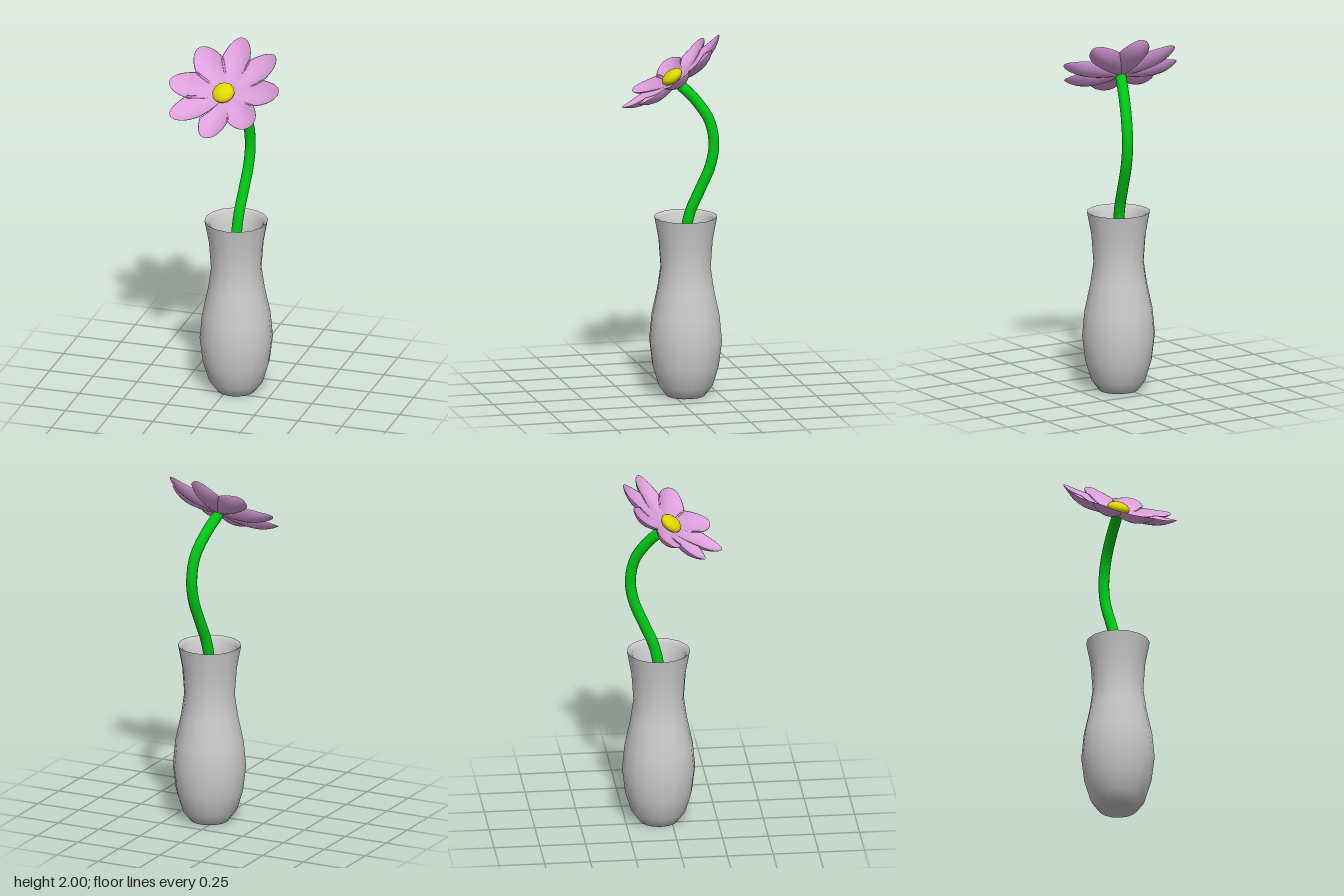
import * as THREE from 'three';
import { mergeVertices } from 'three/addons/utils/BufferGeometryUtils.js';

const mat = (color) => new THREE.MeshStandardMaterial({ color });

function mesh(name, geometry, material) {
  const m = new THREE.Mesh(geometry, material);
  m.name = name;
  return m;
}

// Spoon-shaped petal: a sphere reshaped, base at the origin, tip curling up toward -z
function petalGeometry(length) {
  let g = new THREE.SphereGeometry(1, 20, 18).rotateX(-Math.PI / 2);
  g.deleteAttribute('uv');
  g.deleteAttribute('normal');
  g = mergeVertices(g, 1e-4);
  const p = g.attributes.position;
  for (let i = 0; i < p.count; i++) {
    const t = (1 - p.getZ(i)) / 2;
    const round = Math.sqrt(Math.max(0, 1 - p.getZ(i) ** 2));
    // near the base the width is limited so neighbouring petals just meet
    const limit = round > 0 ? (length * t * 0.43 + 0.003) / round : 0;
    const x = p.getX(i) * Math.min(0.087, limit);
    const cup = 5.5 * x * x;
    const rise = 0.067 * t ** 4;
    p.setXYZ(i, x, p.getY(i) * 0.01 + cup + rise, -length * t);
  }
  g.computeVertexNormals();
  return g;
}

export function createModel() {
  const model = new THREE.Group();
  model.name = 'flowerInVase';

  // Vase: outer wall, sloping lip, then inner wall down to the inside floor
  const profile = [
    [0, 0], [0.105, 0], [0.15, 0.06], [0.183, 0.17], [0.2, 0.31],
    [0.187, 0.45], [0.155, 0.6], [0.138, 0.72], [0.149, 0.87], [0.173, 1],
    [0.173, 1], [0.148, 0.98],
    [0.125, 0.87], [0.113, 0.72], [0.128, 0.6], [0.16, 0.45], [0.173, 0.31],
    [0.155, 0.17], [0.1, 0.06], [0, 0.05],
  ].map(([r, y]) => new THREE.Vector2(r, y));
  const vase = mesh('vase', new THREE.LatheGeometry(profile, 16), mat(0xcccccc));
  vase.position.set(0.045, 0, -0.068);
  model.add(vase);

  // Stem: curved tube from inside the vase to the back of the bloom
  const stemPath = new THREE.CatmullRomCurve3([
    [0.03, 0.08, -0.03], [0.035, 0.6, -0.04], [0.05, 1, -0.085], [0.063, 1.15, -0.145],
    [0.074, 1.28, -0.199], [0.077, 1.4, -0.219], [0.07, 1.53, -0.197],
    [0.045, 1.64, -0.13], [0.008, 1.745, -0.03],
  ].map((a) => new THREE.Vector3(...a)));
  model.add(mesh('stem', new THREE.TubeGeometry(stemPath, 48, 0.03, 12), mat(0x00c814)));

  // Bloom: eight petals around a flattened centre, tilted to face forward and up
  const bloom = new THREE.Group();
  bloom.name = 'bloom';
  bloom.position.set(0.005, 1.75, -0.035);
  bloom.quaternion.setFromUnitVectors(
    new THREE.Vector3(0, 1, 0), new THREE.Vector3(-0.14, 0.82, 0.575).normalize());

  const petalShape = petalGeometry(0.33);
  const petalMaterial = mat(0xdda0dd);
  [6, 51, 96, 141, 186, 236, 278, 322].forEach((degrees, i) => {
    const petal = mesh('petal' + (i + 1), petalShape, petalMaterial);
    petal.rotation.y = -THREE.MathUtils.degToRad(degrees);
    bloom.add(petal);
  });

  const centre = mesh('flowerCentre', new THREE.SphereGeometry(0.064, 12, 8), mat(0xe0d800));
  centre.scale.y = 0.55;
  centre.position.set(-0.009, 0.036, 0.012);
  bloom.add(centre);
  model.add(bloom);

  return model;
}
